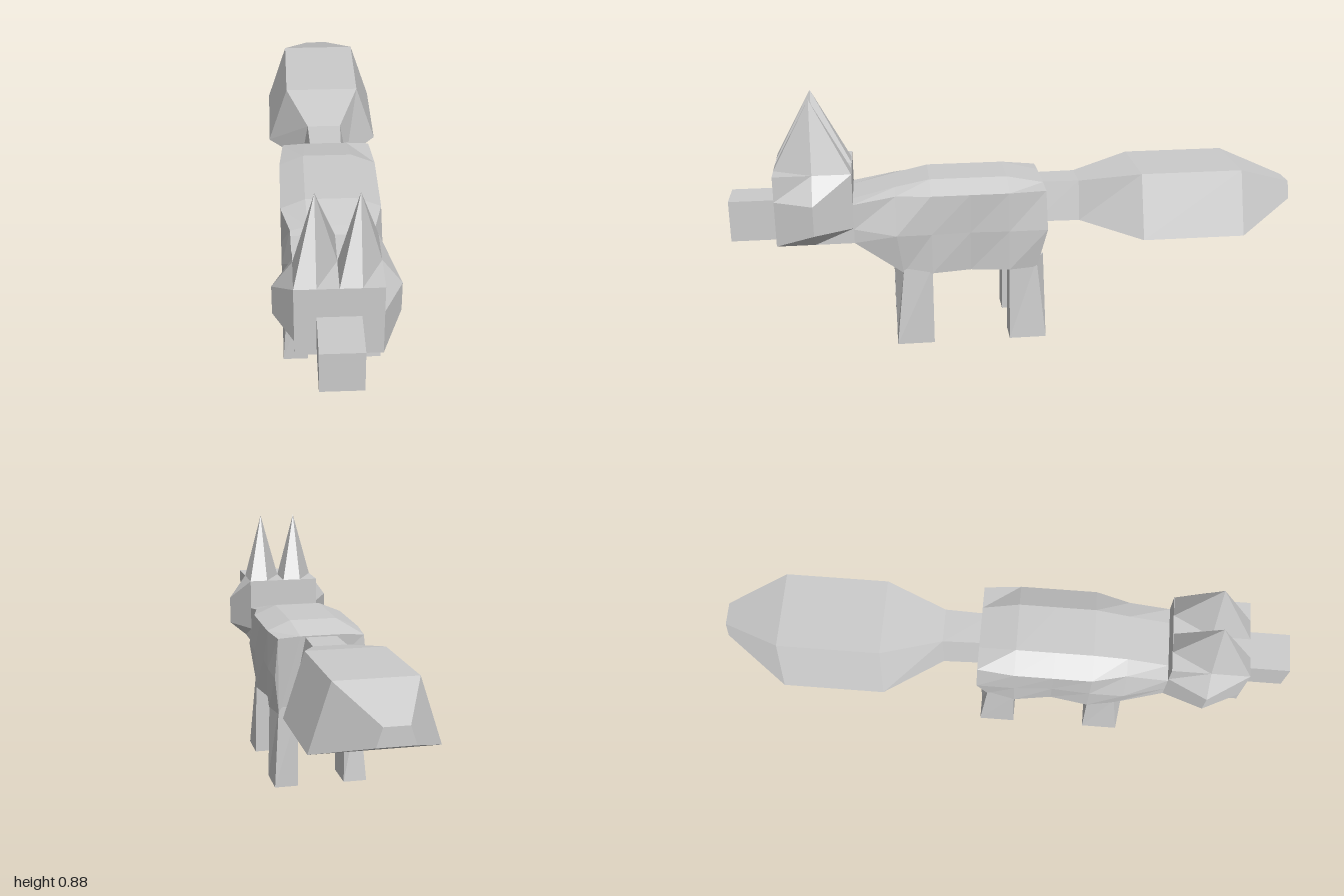
import * as THREE from 'three';

const material = new THREE.MeshStandardMaterial({ color: 0xcccccc, flatShading: true });

function part(name, geometry) {
  const mesh = new THREE.Mesh(geometry, material);
  mesh.name = name;
  return mesh;
}

// Complete a right-hand outline (bottom to top) with its mirror image
const mirrored = (half) => [...half, ...half.slice().reverse().map(([x, y, z]) => [-x, y, z])];

// Closed faceted solid through rings of equal length
function loft(rings) {
  const pos = [];
  const tri = (a, b, c) => pos.push(...a, ...b, ...c);
  const n = rings[0].length;
  const last = rings[rings.length - 1];
  for (let i = 0; i < rings.length - 1; i++) {
    for (let j = 0; j < n; j++) {
      const k = (j + 1) % n;
      tri(rings[i][j], rings[i + 1][j], rings[i + 1][k]);
      tri(rings[i][j], rings[i + 1][k], rings[i][k]);
    }
  }
  for (let j = 1; j < n - 1; j++) {
    tri(rings[0][0], rings[0][j], rings[0][j + 1]);
    tri(last[0], last[j + 1], last[j]);
  }
  const g = new THREE.BufferGeometry();
  g.setAttribute('position', new THREE.Float32BufferAttribute(pos, 3));
  g.computeVertexNormals();
  return g;
}

// Leg block whose upper outer end corner is pulled inward
function legGeometry(sx, sz) {
  const g = new THREE.BoxGeometry(0.085, 0.29, 0.13).toNonIndexed();
  g.translate(sx * 0.1275, 0.145, 0.175 + sz * 0.2);
  const p = g.attributes.position;
  for (let i = 0; i < p.count; i++) {
    const outer = Math.abs(p.getX(i)) > 0.13;
    const end = Math.abs(p.getZ(i) - 0.175) > 0.2;
    if (p.getY(i) > 0.1 && outer) {
      p.setX(i, sx * (end ? 0.148 : 0.163));
      if (end) p.setZ(i, 0.175 + sz * 0.233);
    }
  }
  g.computeVertexNormals();
  return g;
}

// Six-sided ear: two opposite corners of the base rectangle are cut off
function earGeometry(cx) {
  const w = 0.0675, d = 0.132, cz = 0.708;
  const base = [[-1, 0], [0, -1], [1, -1], [1, 0], [0, 1], [-1, 1]]
    .map(([x, z]) => [cx + x * w, 0.63, cz + z * d]);
  return loft([base, base.map(() => [cx, 0.877, cz])]);
}

export function createModel() {
  const model = new THREE.Group();
  model.name = 'fox';

  // Body, from neck to rump
  const body = [
    [[0.135, 0.38, 0.575], [0.135, 0.43, 0.575], [0.135, 0.52, 0.575], [0.08, 0.525, 0.575]],
    [[0.148, 0.265, 0.41], [0.168, 0.41, 0.43], [0.138, 0.545, 0.43], [0.08, 0.56, 0.43]],
    [[0.165, 0.265, 0.31], [0.168, 0.41, 0.31], [0.168, 0.55, 0.31], [0.085, 0.585, 0.31]],
    [[0.145, 0.265, 0.175], [0.16, 0.41, 0.175], [0.168, 0.55, 0.175], [0.085, 0.585, 0.175]],
    [[0.165, 0.265, 0.04], [0.168, 0.41, 0.04], [0.168, 0.55, 0.04], [0.085, 0.585, 0.04]],
    [[0.148, 0.265, -0.06], [0.168, 0.41, -0.095], [0.155, 0.55, -0.09], [0.075, 0.555, -0.09]],
  ];
  model.add(part('body', loft(body.map(mirrored))));

  // Head with angular cheeks
  const head = [[0.84, 0.135], [0.708, 0.2], [0.575, 0.135]].map(([z, cheek]) => mirrored([
    [0.135, 0.38, z], [cheek, 0.435, z], [cheek, 0.54, z], [0.135, 0.63, z],
  ]));
  model.add(part('head', loft(head)));

  const snout = part('snout', new THREE.BoxGeometry(0.135, 0.145, 0.17));
  snout.position.set(0, 0.4525, 0.915);
  model.add(snout);

  model.add(part('rightEar', earGeometry(-0.0675)), part('leftEar', earGeometry(0.0675)));

  // Four legs
  for (const sx of [-1, 1]) {
    for (const sz of [-1, 1]) {
      const name = (sz > 0 ? 'front' : 'back') + (sx > 0 ? 'Left' : 'Right') + 'Leg';
      model.add(part(name, legGeometry(sx, sz)));
    }
  }

  // Bushy tail, wider at the bottom: z, bottom half-width, top half-width, bottom y, top y
  const tail = [
    [-0.06, 0.08, 0.055, 0.41, 0.55],
    [-0.22, 0.085, 0.06, 0.41, 0.55],
    [-0.43, 0.207, 0.135, 0.37, 0.59],
    [-0.79, 0.207, 0.135, 0.37, 0.59],
    [-1.0, 0.06, 0.04, 0.45, 0.51],
  ].map(([z, xb, xt, yb, yt]) => mirrored([[xb, yb, z], [xt, yt, z]]));
  model.add(part('tail', loft(tail)));

  return model;
}
